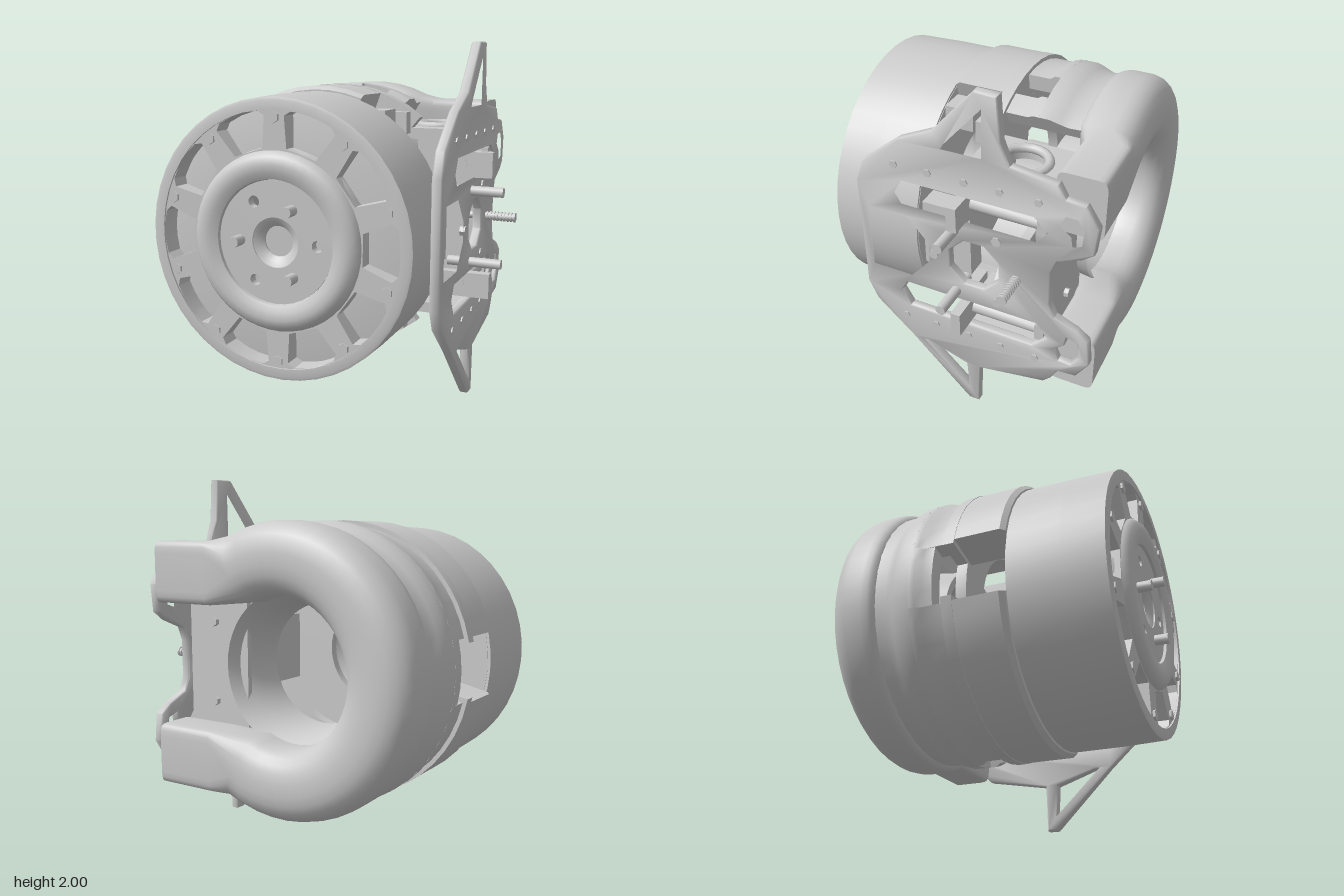
import * as THREE from 'three';
import { toCreasedNormals } from 'three/addons/utils/BufferGeometryUtils.js';

const CX = -0.11, CY = 1; // main axis, running along z
const rad = THREE.MathUtils.degToRad;
const material = new THREE.MeshStandardMaterial({ color: 0xcccccc });

// Solid skinned over equal-length loops of [x, y, z], capped at both ends
function skin(loops) {
  const n = loops[0].length, pos = loops.flat(2), idx = [];
  for (let i = 0; i < loops.length - 1; i++) {
    for (let j = 0; j < n; j++) {
      const a = i * n + j, b = i * n + (j + 1) % n;
      idx.push(a, b, a + n, b, b + n, a + n);
    }
  }
  [0, loops.length - 1].forEach((k, e) => {
    const c = pos.length / 3;
    for (let d = 0; d < 3; d++) pos.push(loops[k].reduce((s, p) => s + p[d], 0) / n);
    for (let j = 0; j < n; j++) {
      const a = k * n + j, b = k * n + (j + 1) % n;
      e ? idx.push(a, b, c) : idx.push(b, a, c);
    }
  });
  // Signed volume decides whether the faces must be turned outward
  const v = i => new THREE.Vector3().fromArray(pos, i * 3);
  let vol = 0;
  for (let i = 0; i < idx.length; i += 3) vol += v(idx[i]).dot(v(idx[i + 1]).cross(v(idx[i + 2])));
  if (vol < 0) idx.reverse();
  const g = new THREE.BufferGeometry();
  g.setAttribute('position', new THREE.Float32BufferAttribute(pos, 3));
  g.setIndex(idx);
  return toCreasedNormals(g, 0.65);
}

const arcLoop = (profile, deg) => profile.map(([r, z]) =>
  [CX + r * Math.cos(rad(deg)), CY + r * Math.sin(rad(deg)), z]);

// Sweeps an [r, z] profile around the main axis
function arc(profile, from = 0, to = 360) {
  const steps = Math.max(2, Math.ceil((to - from) / 8)), loops = [];
  for (let i = 0; i <= steps; i++) loops.push(arcLoop(profile, from + (to - from) * i / steps));
  return skin(loops);
}

// Flat part of the given total depth, with an optional inset bevel
function extrude(shape, depth, bevel = 0) {
  const g = new THREE.ExtrudeGeometry(shape, { depth: depth - 2 * bevel, bevelEnabled: bevel > 0, bevelSize: bevel,
    bevelThickness: bevel, bevelOffset: -bevel, bevelSegments: 1, curveSegments: 20 });
  return toCreasedNormals(g.translate(0, 0, bevel), bevel ? 0.9 : 0.6);
}
const poly = pts => new THREE.Path(pts.map(p => new THREE.Vector2(...p)));
const circle = (x, y, r) => new THREE.Path().absarc(x, y, r, 0, Math.PI * 2, true);
const polar = (r, deg) => [r * Math.cos(rad(deg)), r * Math.sin(rad(deg))];

export function createModel() {
  const root = new THREE.Group();
  const add = (name, geometry, x = 0, y = 0, z = 0) => {
    const m = new THREE.Mesh(geometry, material);
    m.name = name;
    m.position.set(x, y, z);
    root.add(m);
    return m;
  };
  const box = (name, w, h, d, x, y, z) => add(name, new THREE.BoxGeometry(w, h, d), x, y, z);
  const rod = (name, axis, r, len, x, y, z, sides = 12) => {
    const g = new THREE.CylinderGeometry(r, r, len, sides);
    g[axis === 'x' ? 'rotateZ' : 'rotateX'](Math.PI / 2);
    return add(name, toCreasedNormals(g, 0.9), x, y, z);
  };

  // Front drum: outer wall, back wall, pocket floor and stepped hub barrel
  add('drumWall', arc([[0.67, 0.23], [0.737, 0.22], [0.737, 0.5], [0.73, 0.725], [0.715, 0.73], [0.67, 0.73]]));
  add('drumBack', arc([[0.33, 0.22], [0.72, 0.22], [0.72, 0.27], [0.33, 0.27]]));
  add('pocketFloor', arc([[0.34, 0.58], [0.7, 0.58], [0.7, 0.61], [0.5, 0.64], [0.34, 0.64]]));
  add('hubBarrel', arc([[0.3, 0.22], [0.36, 0.22], [0.36, 0.66], [0.3, 0.66]]));
  add('barrelStep', arc([[0.27, 0.3], [0.31, 0.26], [0.31, 0.4], [0.27, 0.4]]));

  // Wheel face: ten flared pockets between ten spokes
  const face = new THREE.Shape().absarc(0, 0, 0.69, 0, Math.PI * 2);
  face.holes.push(circle(0, 0, 0.4));
  for (let k = 0; k < 10; k++) {
    const a = k * 36;
    face.holes.push(poly([polar(0.48, a - 10), polar(0.48, a + 10), polar(0.64, a + 13),
      polar(0.665, a + 10), polar(0.675, a), polar(0.665, a - 10), polar(0.64, a - 13)]));
    const [bx, by] = polar(0.63, a + 18);
    rod('rimBolt', 'z', 0.03, 0.03, CX + bx, CY + by, 0.718, 6);
  }
  add('wheelFace', extrude(face, 0.11), CX, CY, 0.61);

  // Hub ring, dished bolt floor, studs and centre cap
  add('hubRing', arc([[0.48, 0.66], [0.465, 0.73], [0.44, 0.757], [0.4, 0.768],
    [0.36, 0.762], [0.325, 0.745], [0.31, 0.66]]));
  const hub = new THREE.Shape().absarc(0, 0, 0.32, 0, Math.PI * 2);
  hub.holes.push(circle(0, 0, 0.13));
  for (let k = 0; k < 6; k++) {
    const [x, y] = polar(k % 2 ? 0.2 : 0.235, k * 60);
    if (k % 2) rod('hubStud', 'z', 0.028, 0.14, CX + x, CY + y, 0.735);
    else hub.holes.push(circle(x, y, 0.03));
  }
  add('hubFloor', extrude(hub, 0.05), CX, CY, 0.68);
  add('centreCollar', arc([[0.08, 0.64], [0.14, 0.66], [0.14, 0.728], [0.1, 0.71], [0.08, 0.69]]));
  rod('centreCap', 'z', 0.1, 0.04, CX, CY, 0.66, 6);

  // Middle cover and flange: open towards the plate, notched opposite it
  const cover = [[0.56, -0.06], [0.765, -0.06], [0.765, 0.19], [0.745, 0.215], [0.56, 0.215]];
  const flangeRim = [[0.6, -0.12], [0.768, -0.12], [0.768, -0.06], [0.6, -0.06]];
  add('flange', arc([[0.4, -0.12], [0.6, -0.12], [0.6, -0.06], [0.4, -0.06]], 50, 310));
  for (const [a, b, c, d] of [[70, 167, 50, 169], [193, 290, 191, 310]]) {
    add('middleCover', arc(cover, a, b));
    add('flangeRim', arc(flangeRim, c, d));
  }
  for (const s of [1, -1]) {
    box('coverStop', 0.14, 0.12, 0.16, 0.21, CY + s * 0.58, 0.13);
    box('flangeStop', 0.17, 0.12, 0.07, 0.245, CY + s * 0.56, -0.025);
  }
  box('supportPost', 0.12, 0.4, 0.28, 0.49, CY, 0.08);

  // Rear sleeve, with top, bottom and side openings beside the flange
  add('sleeve', arc([[0.66, -0.54], [0.735, -0.54], [0.728, -0.46], [0.745, -0.41], [0.765, -0.36], [0.765, -0.3], [0.66, -0.3]], 62, 298));
  const wall = [[0.66, -0.302], [0.765, -0.302], [0.765, -0.27], [0.745, -0.24], [0.745, -0.12], [0.66, -0.12]];
  for (const [a, b] of [[62, 72], [85, 167], [193, 275], [288, 298]]) add('sleeveWall', arc(wall, a, b));
  add('sideSlotEdge', arc([[0.66, -0.302], [0.765, -0.302], [0.765, -0.27], [0.745, -0.24], [0.742, -0.18], [0.66, -0.18]], 167, 193));
  // Funnel lining the rear opening
  add('innerFunnel', arc([[0.42, -0.62], [0.37, -0.54], [0.34, -0.44], [0.33, -0.305], [0.37, -0.305], [0.41, -0.54]]));

  // Rear horseshoe duct: square-fronted round section on the bend, boxy legs
  const N = 24;
  const power = (t, e) => Math.sign(t) * Math.abs(t) ** e;
  const section = (c, a, zc, b, rear, front) => Array.from({ length: N }, (_, i) => {
    const t = (i + 0.5) / N * Math.PI * 2, e = Math.sin(t) < 0 ? rear : front;
    return [c + a * power(Math.cos(t), e), zc + b * power(Math.sin(t), e)];
  });
  const bend = section(0.577, 0.188, -0.655, 0.155, 0.85, 0.4);
  const leg = section(0.495, 0.165, -0.685, 0.125, 0.25, 0.25);
  const legLoop = (x, s) => leg.map(([r, z]) => [x, CY + s * r, z]);
  const duct = [legLoop(0.635, 1), legLoop(0.3, 1)];
  for (let d = 64; d <= 296; d += 7.25) duct.push(arcLoop(bend, d));
  duct.push(legLoop(0.3, -1), legLoop(0.635, -1));
  add('horseshoeDuct', skin(duct));

  // Bracket between the legs: holed shelves, back wall, bolts, guide pins
  const shelf = new THREE.Shape([[0.25, -0.56], [0.6, -0.56], [0.6, -0.06], [0.25, -0.06]].map(p => new THREE.Vector2(...p)));
  shelf.holes.push(circle(0.44, -0.31, 0.12));
  for (const s of [1, -1]) {
    add('shelf', extrude(shelf, 0.06).rotateX(Math.PI / 2), 0, CY + s * 0.5 + 0.03, 0);
    const ring = new THREE.TorusGeometry(0.13, 0.025, 8, 20).rotateX(Math.PI / 2);
    add('shelfRing', ring, 0.44, CY + s * 0.53, -0.31);
    rod('wallBolt', 'z', 0.025, 0.03, 0.44, CY + s * 0.22, -0.57, 6);
    rod('guidePin', 'z', 0.04, 0.46, 0.62, CY + s * 0.34, -0.29);
    box('pinStop', 0.1, 0.1, 0.05, 0.62, CY + s * 0.34, -0.51);
    box('pinTab', 0.28, 0.14, 0.055, 0.66, CY + s * 0.34, -0.09);
    box('plateSpacer', 0.1, 0.06, 0.5, 0.6, CY + s * 0.5, -0.31);
  }
  box('bracketWall', 0.4, 1, 0.03, 0.42, CY, -0.545);

  // Mounting plate, drawn as (-z, y) and turned to face +x
  const plate = new THREE.Shape(poly([
    [-0.52, 1.34], [-0.47, 1.47], [-0.25, 1.65], [-0.06, 1.74], [0.17, 2], [0.29, 2], [0.305, 1.77], [0.35, 1.65],
    [0.59, 1.62], [0.63, 1.55], [0.73, 1.54], [0.8, 1.43], [0.785, 1.28], [0.72, 1.23], [0.6, 1.18], [0.57, 1.1],
    [0.57, 0.9], [0.6, 0.82], [0.72, 0.77], [0.785, 0.72], [0.8, 0.57], [0.73, 0.46], [0.63, 0.45], [0.59, 0.38],
    [0.55, 0.34], [0.17, 0.27], [0.16, 0], [0.1, 0], [-0.25, 0.35], [-0.47, 0.55], [-0.52, 0.66]]).getPoints());
  plate.holes.push(
    poly([[0.215, 1.93], [0.215, 1.65], [-0.02, 1.65], [0, 1.69]]),
    poly([[0.1, 0.09], [0.09, 0.27], [-0.15, 0.35], [-0.17, 0.35]]),
    poly([[-0.47, 0.8], [-0.47, 1.2], [-0.22, 1.2], [-0.1, 1.06], [-0.1, 0.94], [-0.22, 0.8]]),
    poly(Array.from({ length: 8 }, (_, i) => polar(0.15, i * 45 + 22.5)).map(([x, y]) => [x + 0.15, y + 1])));
  for (const s of [1, -1]) {
    plate.holes.push(
      poly([[-0.3, 0.33], [-0.25, 0.42], [0.48, 0.42], [0.56, 0.34], [0.5, 0.26], [-0.26, 0.26]].map(([u, y]) => [u, 1 + s * y])),
      poly([[0.6, 0.4], [0.63, 0.47], [0.7, 0.47], [0.74, 0.41], [0.73, 0.31], [0.67, 0.29], [0.66, 0.35]].map(([u, y]) => [u, 1 + s * y])));
  }
  add('mountingPlate', extrude(plate, 0.055, 0.008).rotateY(Math.PI / 2), 0.638);

  // Plate bolts and long studs
  for (const s of [1, -1]) {
    for (const z of [0.28, 0.09, -0.11, -0.3, -0.5]) rod('plateBolt', 'x', 0.022, 0.03, 0.685, CY + s * 0.5, z, 6);
    rod('plateBolt', 'x', 0.028, 0.03, 0.685, CY + s * 0.2, -0.28, 6);
    rod('longStud', 'x', 0.028, 0.3, 0.72, CY + s * 0.2, -0.045);
  }
  rod('plateBolt', 'x', 0.028, 0.03, 0.685, CY, 0.08, 6);
  rod('threadedStud', 'x', 0.022, 0.3, 0.72, CY, -0.39);
  for (let i = 0; i < 9; i++) rod('studThread', 'x', 0.028, 0.01, 0.705 + i * 0.02, CY, -0.39);
  return root;
}
